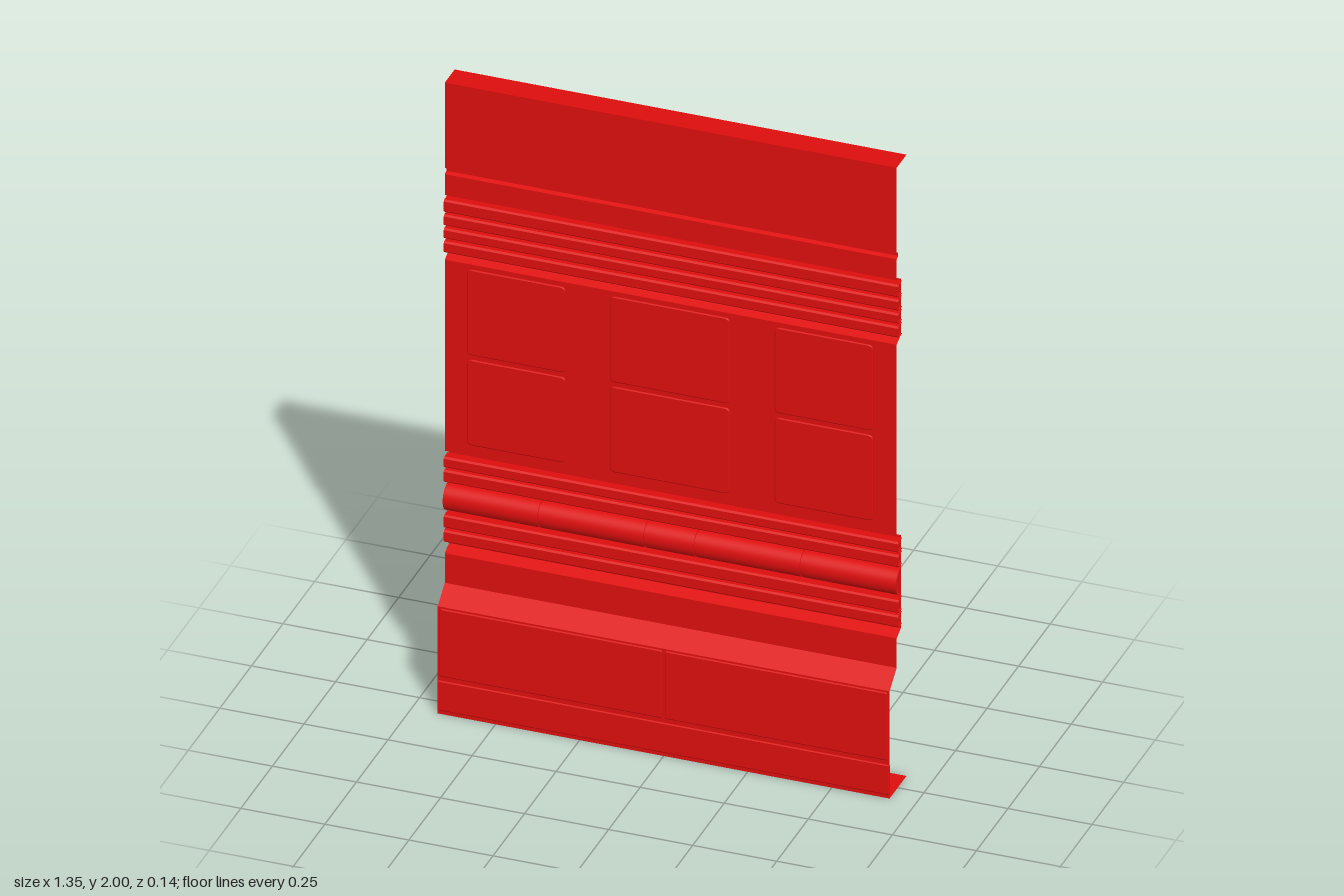
import * as THREE from 'three';

const HALF = 0.672;
const MAIN = 0.008, SKIRT = 0.064, RECESS = -0.025;
const red = new THREE.MeshStandardMaterial({ color: 0xdd0e0e, side: THREE.DoubleSide });

function add(parent, name, geometry) {
  const mesh = new THREE.Mesh(geometry, red);
  mesh.name = name;
  parent.add(mesh);
  return mesh;
}

// Folded sheet: a [z, y] profile swept straight across x, with hard folds
function foldedSheet(profile, half) {
  const pos = [];
  for (let i = 0; i < profile.length - 1; i++) {
    const [z0, y0] = profile[i], [z1, y1] = profile[i + 1];
    pos.push(-half, y0, z0, -half, y1, z1, half, y1, z1);
    pos.push(-half, y0, z0, half, y1, z1, half, y0, z0);
  }
  const g = new THREE.BufferGeometry();
  g.setAttribute('position', new THREE.Float32BufferAttribute(pos, 3));
  g.computeVertexNormals();
  return g;
}

// Thin rounded plate that shows on both sides of the sheet at depth z
function plate(x0, x1, y0, y1, z, r) {
  const s = new THREE.Shape();
  s.moveTo(x0 + r, y0);
  s.lineTo(x1 - r, y0).quadraticCurveTo(x1, y0, x1, y0 + r);
  s.lineTo(x1, y1 - r).quadraticCurveTo(x1, y1, x1 - r, y1);
  s.lineTo(x0 + r, y1).quadraticCurveTo(x0, y1, x0, y1 - r);
  s.lineTo(x0, y0 + r).quadraticCurveTo(x0, y0, x0 + r, y0);
  const g = new THREE.ExtrudeGeometry(s, {
    depth: 0.004, bevelEnabled: true, bevelThickness: 0.002,
    bevelSize: 0.003, bevelOffset: -0.003, bevelSegments: 1, curveSegments: 5,
  });
  return g.translate(0, 0, z - 0.002);
}

export function createModel() {
  const model = new THREE.Group();
  model.name = 'pressedWallPanel';

  // Backing sheet from the top flange to the bottom flange
  add(model, 'backingSheet', foldedSheet([
    [-0.07, 2], [MAIN, 2],
    [MAIN, 1.725], [MAIN - 0.012, 1.72], [MAIN - 0.012, 1.71], [MAIN, 1.705],
    [MAIN, 1.638], [RECESS, 1.625],
    [RECESS, 1.445], [MAIN, 1.43],
    [MAIN, 0.815], [RECESS, 0.8],
    [RECESS, 0.5], [MAIN, 0.485],
    [MAIN, 0.39], [SKIRT, 0.345],
    [SKIRT, 0], [-0.07, 0],
  ], HALF));

  // Horizontal mouldings sitting in the two recessed bands
  const strips = new THREE.Group();
  strips.name = 'mouldings';
  model.add(strips);
  const rows = [
    [1.58, 1.62], [1.537, 1.572], [1.495, 1.528], [1.45, 1.486],
    [0.758, 0.792], [0.711, 0.75], [0.564, 0.605], [0.518, 0.556],
  ];
  for (const [y0, y1] of rows) {
    const c = 0.005, front = MAIN - 0.002;
    add(strips, 'moulding', foldedSheet([
      [RECESS, y0], [front - c, y0], [front, y0 + c],
      [front, y1 - c], [front - c, y1], [RECESS, y1],
    ], HALF + 0.004));
  }

  // Half-round roll with narrow seams
  const R = 0.043, w = 0.003, profile = [new THREE.Vector2(R, -HALF - 0.002)];
  for (const x of [-0.39, -0.075, 0.075, 0.39]) {
    for (const [r, d] of [[R, -w], [R - 0.004, -w], [R - 0.004, w], [R, w]]) {
      profile.push(new THREE.Vector2(r, x + d));
    }
  }
  profile.push(new THREE.Vector2(R, HALF + 0.002));
  const segments = [];
  for (let i = 0; i < profile.length - 1; i++) segments.push([profile[i], profile[i + 1]]);
  const roll = new THREE.Group();
  roll.name = 'halfRoundRoll';
  for (const seg of segments) {
    add(roll, 'rollSection', new THREE.LatheGeometry(seg, 20, -Math.PI / 2, Math.PI));
  }
  roll.rotation.z = -Math.PI / 2;
  roll.position.set(0, 0.657, RECESS + 0.002);
  model.add(roll);

  // Two rows of three raised panels
  for (const [y0, y1] of [[0.85, 1.125], [1.14, 1.415]]) {
    for (const [x0, x1] of [[-0.605, -0.312], [-0.18, 0.177], [0.31, 0.603]]) {
      add(model, 'raisedPanel', plate(x0, x1, y0, y1, MAIN, 0.015));
    }
  }

  // Skirt panels and the base strip below them
  for (const [x0, x1] of [[-0.666, -0.004], [0.004, 0.666]]) {
    add(model, 'skirtPanel', plate(x0, x1, 0.122, 0.34, SKIRT, 0.006));
  }
  add(model, 'baseStrip', plate(-HALF, HALF, 0.012, 0.108, SKIRT, 0.003));

  return model;
}
